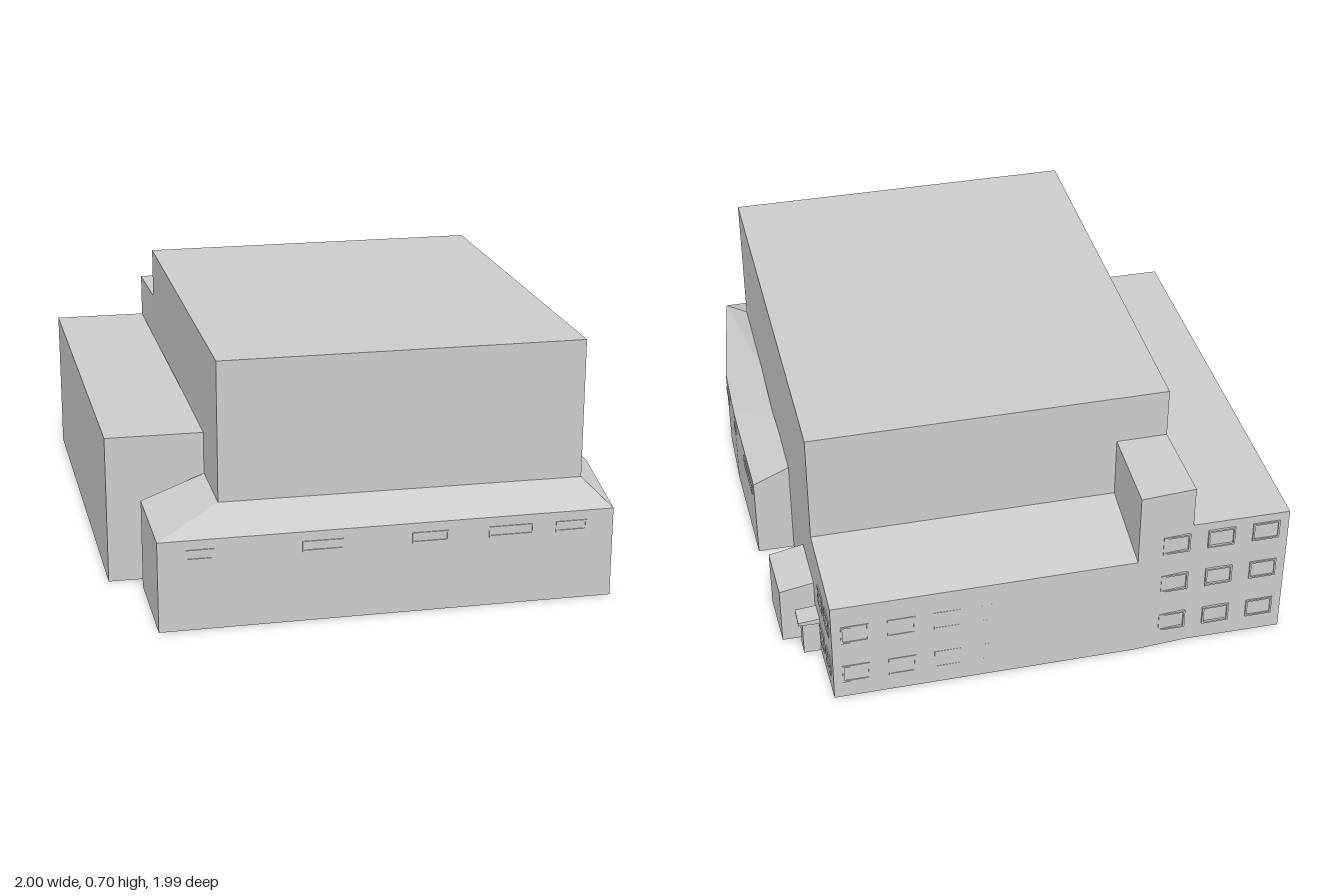
import * as THREE from 'three';

const material = new THREE.MeshStandardMaterial({ color: 0xcccccc, flatShading: true });

// Closed building block swept through ribs [inner, outer], each an [x, z] point on plan.
// The roof runs from height hIn on the inner edge to hOut on the outer edge.
function block(name, ribs, hIn, hOut = hIn, base = 0) {
  const loops = ribs.map(([a, b]) => [
    [a[0], base, a[1]], [b[0], base, b[1]], [b[0], hOut, b[1]], [a[0], hIn, a[1]],
  ]);
  const pos = [];
  const quad = (a, b, c, d) => pos.push(...a, ...b, ...c, ...a, ...c, ...d);
  for (let i = 0; i < loops.length - 1; i++) {
    for (let j = 0; j < 4; j++) {
      const k = (j + 1) % 4;
      quad(loops[i][j], loops[i + 1][j], loops[i + 1][k], loops[i][k]);
    }
  }
  const [s, e] = [loops[0], loops[loops.length - 1]];
  quad(s[0], s[1], s[2], s[3]);
  quad(e[3], e[2], e[1], e[0]);
  const geometry = new THREE.BufferGeometry();
  geometry.setAttribute('position', new THREE.Float32BufferAttribute(pos, 3));
  geometry.computeVertexNormals();
  const mesh = new THREE.Mesh(geometry, material);
  mesh.name = name;
  return mesh;
}

// Slim window frame on the wall from a to b, between fractions s0 and s1
function windowFrame(a, b, s0, s1, y0, y1) {
  const dx = b[0] - a[0], dz = b[1] - a[1];
  const w = Math.hypot(dx, dz) * (s1 - s0), h = y1 - y0, t = 0.005, mid = (s0 + s1) / 2;
  const frame = new THREE.Group();
  frame.name = 'windowFrame';
  frame.position.set(a[0] + dx * mid, (y0 + y1) / 2, a[1] + dz * mid);
  frame.rotation.y = Math.atan2(-dz, dx);
  for (const side of [-1, 1]) {
    const rail = new THREE.Mesh(new THREE.BoxGeometry(w, t, 0.006), material);
    rail.position.y = side * (h - t) / 2;
    rail.name = 'frameRail';
    const post = new THREE.Mesh(new THREE.BoxGeometry(t, h, 0.006), material);
    post.position.x = side * (w - t) / 2;
    post.name = 'framePost';
    frame.add(rail, post);
  }
  return frame;
}

export function createModel() {
  const model = new THREE.Group();
  model.name = 'building';

  // Plan corners shared by several blocks
  const hallFL = [0.01, 0.78], hallFR = [0.89, 0.26], hallBR = [0.25, -0.78], hallBL = [-0.625, -0.26];
  const wingBack = [-1, -0.33], stairLeft = [-0.76, -0.47], stairRight = [-0.63, -0.56];
  const stairInner = [-0.5, -0.335], rearCorner = [0.11, -1];
  const foyerLeft = [-0.08, 0.99], foyerRight = [1, 0.34], sideBend = [0.85, -0.01];
  const sideBend2 = [0.745, -0.19], foyerEnd = [0.55, -0.495];

  model.add(
    block('mainHall', [[hallBL, hallFL], [hallBR, hallFR]], 0.705),
    block('sideWing', [[stairLeft, wingBack], [[-0.11, 0.58], [-0.35, 0.72]]], 0.427),
    block('stairTower', [[stairInner, stairRight], [hallBL, stairLeft]], 0.555),
    block('rearWing', [[hallBR, rearCorner], [stairInner, stairRight]], 0.37, 0.33),
    // Foyer wraps the front and side of the hall under a lean-to roof
    block('foyer', [
      [[-0.11, 0.58], [-0.245, 0.72]],
      [hallFL, foyerLeft],
      [hallFR, foyerRight],
      [[0.73, 0], sideBend],
      [[0.61, -0.2], sideBend2],
      [[0.455, -0.44], foyerEnd],
    ], 0.307, 0.257),
    block('sideAnnex', [[[0.34, -0.635], [0.425, -0.69]], [hallBR, [0.335, -0.83]]], 0.2, 0.182),
    block('entranceBooth', [[[0.235, -0.795], [0.28, -0.822]], [[0.212, -0.832], [0.257, -0.86]]], 0.115),
    block('entranceCanopy', [[[0.24, -0.79], [0.295, -0.82]], [[0.21, -0.84], [0.265, -0.87]]], 0.127, 0.119, 0.109),
  );

  // Rear wall windows: two rows throughout, a third on the tower and side wing
  const windows = new THREE.Group();
  windows.name = 'windows';
  const rows = [[0.055, 0.115], [0.2, 0.26], [0.34, 0.4]];
  for (let i = 0; i < 10; i++) {
    rows.slice(0, i < 3 ? 3 : 2).forEach(([y0, y1]) =>
      windows.add(windowFrame(wingBack, rearCorner, (i + 0.2) / 10, (i + 0.8) / 10, y0, y1)));
  }
  // Rear wing end wall
  for (const s of [0.12, 0.47]) {
    for (const [y0, y1] of rows.slice(0, 2)) {
      windows.add(windowFrame(rearCorner, hallBR, s, s + 0.24, y0, y1));
    }
  }
  // High ribbon windows of the foyer
  for (const [s0, s1] of [[0.06, 0.12], [0.31, 0.4], [0.55, 0.63], [0.72, 0.82], [0.87, 0.94]]) {
    windows.add(windowFrame(foyerLeft, foyerRight, s0, s1, 0.2, 0.23));
  }
  windows.add(
    windowFrame(sideBend, sideBend2, 0.1, 0.45, 0.2, 0.225),
    windowFrame(sideBend2, foyerEnd, 0.02, 0.1, 0.2, 0.23),
    windowFrame(sideBend2, foyerEnd, 0.52, 0.92, 0.198, 0.235),
  );
  model.add(windows);
  return model;
}
